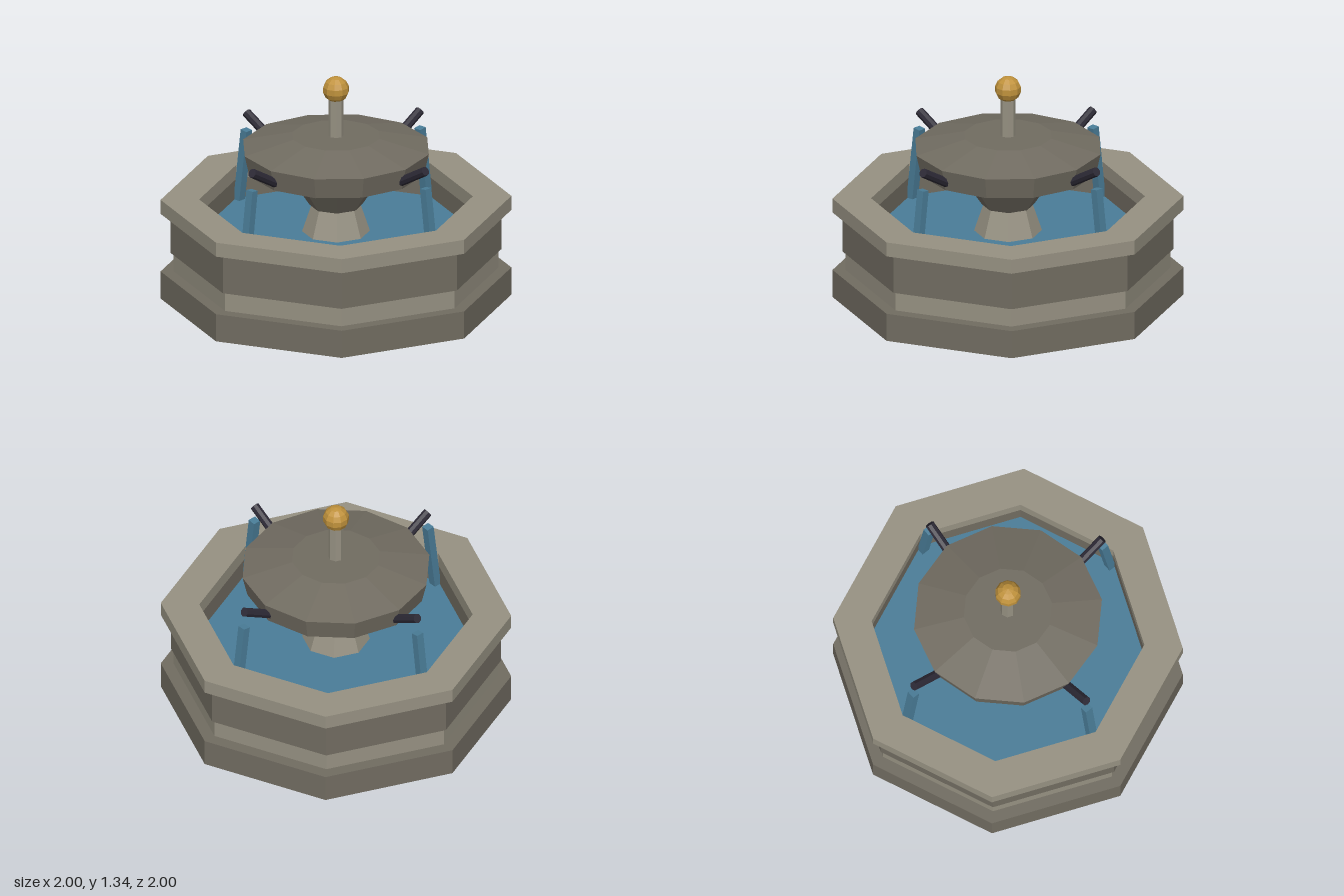
import * as THREE from 'three';

const mat = (name, color) => {
  const m = new THREE.MeshStandardMaterial({ color });
  m.name = name;
  return m;
};

export function createModel() {
  const root = new THREE.Group();
  root.name = 'fountain';
  const lightStone = mat('light stone', 0x969182);
  const darkStone = mat('dark stone', 0x716c61);
  const water = mat('water', 0x4a7d98);
  const iron = mat('dark iron', 0x2d2a36);
  const gold = mat('gold', 0xc0923c);

  // Faceted mesh helper: splits vertices so every face is flat
  const add = (name, geometry, material, parent = root) => {
    const flat = geometry.index ? geometry.toNonIndexed() : geometry;
    flat.computeVertexNormals();
    const mesh = new THREE.Mesh(flat, material);
    mesh.name = name;
    parent.add(mesh);
    return mesh;
  };
  // Upright prism or frustum between two heights
  const frustum = (name, rBottom, rTop, y0, y1, sides, material) => {
    const mesh = add(name, new THREE.CylinderGeometry(rTop, rBottom, y1 - y0, sides), material);
    mesh.position.y = (y0 + y1) / 2;
    return mesh;
  };
  const lathe = (name, points, sides, material) =>
    add(name, new THREE.LatheGeometry(points.map(([r, y]) => new THREE.Vector2(r, y)), sides), material);
  // Octagonal ring with a square cross-section
  const ring = (name, rOut, rIn, y0, y1, material) =>
    lathe(name, [[rOut, y0], [rOut, y1], [rIn, y1], [rIn, y0], [rOut, y0]], 8, material);

  // Basin
  frustum('basePlinth', 1, 1, 0, 0.165, 8, darkStone);
  frustum('baseBand', 0.926, 0.926, 0.165, 0.277, 8, lightStone);
  ring('basinWall', 0.943, 0.78, 0.277, 0.515, darkStone);
  ring('basinRim', 1, 0.78, 0.515, 0.6, lightStone);
  frustum('waterSurface', 0.78, 0.78, 0.277, 0.4, 8, water);

  // Pedestal and capital
  frustum('pedestal', 0.2, 0.14, 0.38, 0.56, 8, lightStone);
  frustum('capital', 0.15, 0.27, 0.56, 0.735, 8, darkStone);

  // Upper bowl with a domed lid
  lathe('upperBowl', [[0, 0.73], [0.25, 0.73], [0.515, 0.785], [0.543, 0.91], [0.255, 0.98], [0, 0.98]], 12, darkStone);

  // Finial
  frustum('finialPost', 0.044, 0.044, 0.97, 1.21, 8, lightStone);
  add('finialBall', new THREE.SphereGeometry(0.076, 10, 7), gold).position.y = 1.26;

  // Four spouts, each with a falling jet of water
  for (let i = 0; i < 4; i++) {
    const arm = new THREE.Group();
    arm.name = 'spoutArm' + (i + 1);
    arm.rotation.y = i * Math.PI / 2;
    root.add(arm);

    const spout = add('spout', new THREE.CylinderGeometry(0.027, 0.027, 0.32, 8), iron, arm);
    spout.position.set(0, 0.86, 0.56);
    spout.rotation.x = Math.PI / 3;

    const jet = add('waterJet', new THREE.BoxGeometry(0.048, 0.45, 0.045), water, arm);
    jet.position.set(0, 0.613, 0.728);
    jet.rotation.x = -0.127;
  }
  return root;
}
